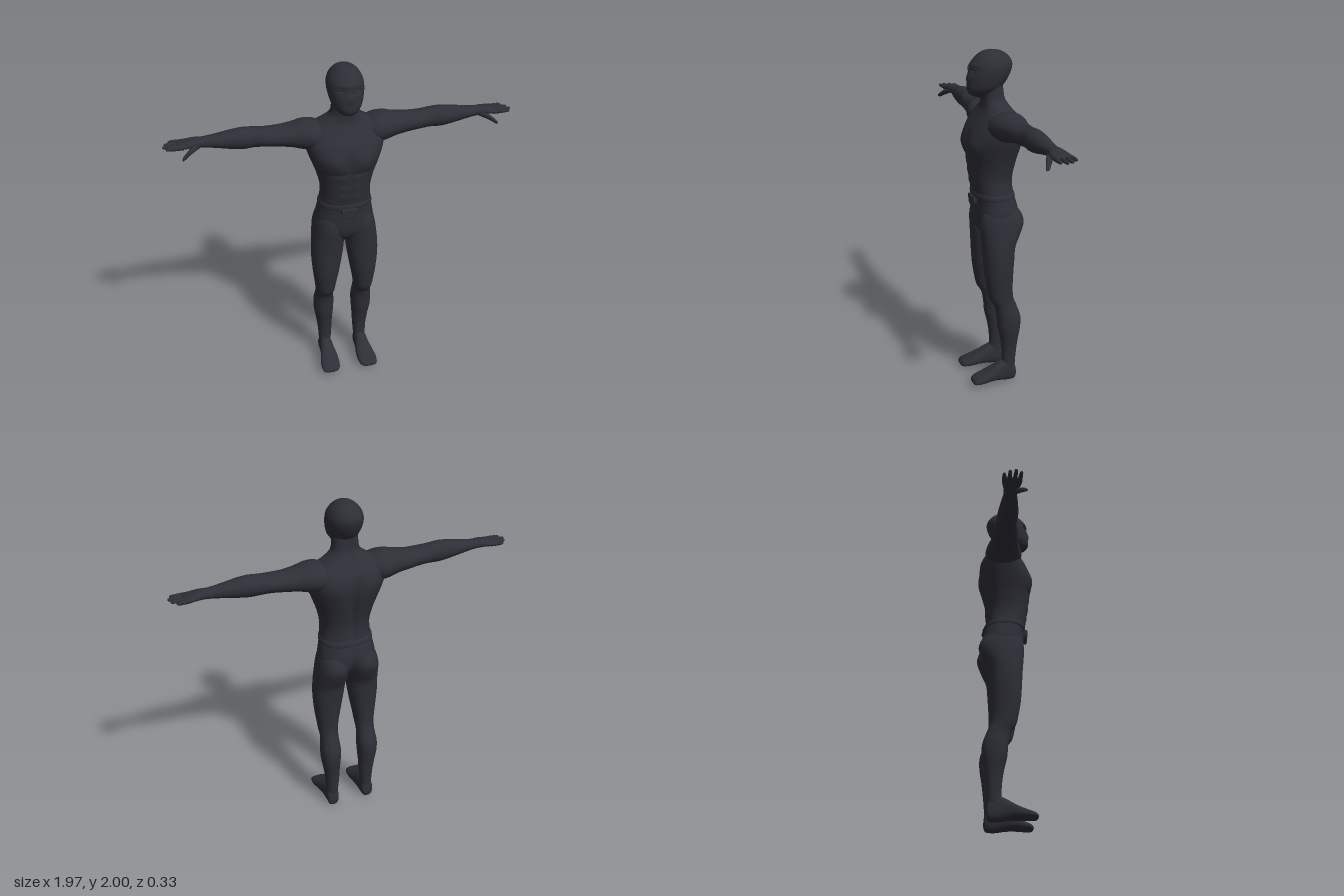
import * as THREE from 'three';

const suit = new THREE.MeshStandardMaterial({ color: 0x2d2e36 });
suit.name = 'charcoal suit';

// Axis mapping for lofts: a and b are the cross-section axes, t runs along the part
const AXES = {
  y: (a, t, b) => [a, t, b],
  x: (a, t, b) => [t, b, a],
  z: (a, t, b) => [b, a, t],
};

const spline = (p0, p1, p2, p3, f) =>
  0.5 * (2 * p1 + (p2 - p0) * f + (2 * p0 - 5 * p1 + 4 * p2 - p3) * f * f + (3 * p1 - p0 - 3 * p2 + p3) * f ** 3);

// Smooth closed loft through sections [t, aMin, aMax, bMin, bMax]
function loft(axis, sections, { sides = 40, steps = 6, power = 2, sculpt = null, mirror = false } = {}) {
  const rings = [];
  const n = sections.length;
  for (let i = 0; i < n - 1; i++) {
    const q = [-1, 0, 1, 2].map(k => sections[Math.min(n - 1, Math.max(0, i + k))]);
    for (let s = 0; s < steps; s++) rings.push(q[0].map((_, k) => spline(q[0][k], q[1][k], q[2][k], q[3][k], s / steps)));
  }
  rings.push(sections[n - 1]);
  const pos = [], idx = [];
  const add = (a, t, b) => {
    const p = AXES[axis](a, t, b);
    if (sculpt) sculpt(p);
    pos.push(mirror ? -p[0] : p[0], p[1], p[2]);
  };
  const tri = (a, b, c) => (mirror ? idx.push(a, c, b) : idx.push(a, b, c));
  const round = v => Math.sign(v) * Math.abs(v) ** (2 / power);
  for (const [t, a0, a1, b0, b1] of rings) {
    for (let j = 0; j < sides; j++) {
      const w = (j / sides) * Math.PI * 2;
      add((a0 + a1) / 2 + ((a1 - a0) / 2) * round(Math.cos(w)), t, (b0 + b1) / 2 + ((b1 - b0) / 2) * round(Math.sin(w)));
    }
  }
  const last = rings.length - 1, first = rings.length * sides;
  for (const r of [rings[0], rings[last]]) add((r[1] + r[2]) / 2, r[0], (r[3] + r[4]) / 2);
  for (let j = 0; j < sides; j++) {
    const k = (j + 1) % sides;
    for (let i = 0; i < last; i++) {
      const a = i * sides + j, b = i * sides + k;
      tri(a, a + sides, b);
      tri(b, a + sides, b + sides);
    }
    tri(first, j, k);
    tri(first + 1, last * sides + k, last * sides + j);
  }
  const g = new THREE.BufferGeometry();
  g.setAttribute('position', new THREE.Float32BufferAttribute(pos, 3));
  g.setIndex(idx);
  g.computeVertexNormals();
  return g;
}

const bump = (d, r) => Math.exp(-((d / r) ** 2));

// Muscle relief on the torso
function sculptTorso(p) {
  const [x, y, z] = p, ax = Math.abs(x);
  if (z > 0.03) {
    const k = Math.min(1, (z - 0.03) / 0.05);
    let d = 0.014 * bump(ax - 0.095, 0.055) * bump(y - 1.48, 0.055);                 // pectorals
    d -= 0.01 * bump(x, 0.014) * bump(y - 1.47, 0.1);                                // breastbone
    d -= 0.006 * bump(ax - 0.07, 0.06) * bump(y - 1.405, 0.012);                     // lower chest edge
    for (const row of [1.37, 1.31, 1.25]) d += 0.005 * bump(ax - 0.035, 0.022) * bump(y - row, 0.02);
    p[2] += d * k;
  } else if (z < -0.03) {
    const k = Math.min(1, (-z - 0.03) / 0.05);
    let d = -0.022 * bump(x, 0.022) * bump(y - 1.42, 0.2);                           // spine
    d += 0.01 * bump(ax - 0.11, 0.05) * bump(y - 1.54, 0.07);                        // shoulder blades
    d -= 0.025 * bump(x, 0.02) * bump(y - 1.0, 0.08);                                // seat cleft
    p[2] -= d * k;
  }
}

// Face relief
function sculptHead(p) {
  const [x, y, z] = p;
  if (z < 0.05) return;
  p[2] += 0.008 * bump(x, 0.018) * bump(y - 1.85, 0.022)                             // nose
    - 0.01 * bump(Math.abs(x) - 0.042, 0.024) * bump(y - 1.893, 0.016)               // eye sockets
    + 0.005 * bump(x, 0.07) * bump(y - 1.922, 0.012);                                // brow
}

const wide = rows => rows.map(([y, w, z0, z1]) => [y, -w, w, z0, z1]);

export function createModel() {
  const model = new THREE.Group();
  const part = (name, geometry, parent = model) => {
    const m = new THREE.Mesh(geometry, suit);
    m.name = name;
    parent.add(m);
    return m;
  };

  part('torso', loft('y', wide([
    [0.925, 0.03, -0.06, 0.05], [0.97, 0.1, -0.11, 0.085], [1.02, 0.165, -0.14, 0.1], [1.08, 0.168, -0.146, 0.105],
    [1.14, 0.158, -0.132, 0.105], [1.2, 0.147, -0.115, 0.112], [1.28, 0.143, -0.112, 0.125], [1.36, 0.16, -0.126, 0.134],
    [1.44, 0.188, -0.145, 0.147], [1.5, 0.21, -0.156, 0.147], [1.56, 0.225, -0.16, 0.13], [1.61, 0.222, -0.15, 0.1],
    [1.65, 0.19, -0.127, 0.075], [1.68, 0.14, -0.103, 0.06], [1.71, 0.095, -0.083, 0.056], [1.74, 0.076, -0.07, 0.058],
    [1.8, 0.07, -0.062, 0.06], [1.84, 0.06, -0.055, 0.05],
  ]), { sides: 96, steps: 8, power: 2.35, sculpt: sculptTorso }));

  part('head', loft('y', wide([
    [1.742, 0.03, -0.01, 0.095], [1.755, 0.05, -0.03, 0.122], [1.775, 0.066, -0.045, 0.138], [1.8, 0.082, -0.062, 0.141],
    [1.84, 0.094, -0.09, 0.138], [1.88, 0.1, -0.11, 0.132], [1.92, 0.097, -0.118, 0.121], [1.955, 0.081, -0.103, 0.097],
    [1.98, 0.058, -0.075, 0.068], [1.993, 0.035, -0.045, 0.042], [2.0, 0.004, 0, 0.008],
  ]), { sides: 64, steps: 8, power: 2.1, sculpt: sculptHead }));

  // Belt and buckle
  part('belt', loft('y', wide([
    [1.163, 0.148, -0.12, 0.105], [1.168, 0.156, -0.127, 0.113], [1.192, 0.152, -0.121, 0.115], [1.197, 0.144, -0.112, 0.107],
  ]), { sides: 64, steps: 3, power: 2.35 }));
  const plate = new THREE.Shape();
  plate.moveTo(-0.042, 0.018);
  plate.lineTo(0.042, 0.018);
  plate.quadraticCurveTo(0.044, -0.036, 0, -0.036);
  plate.quadraticCurveTo(-0.044, -0.036, -0.042, 0.018);
  part('buckle', new THREE.ExtrudeGeometry(plate, {
    depth: 0.02, bevelSize: 0.005, bevelThickness: 0.005, bevelSegments: 3, curveSegments: 12,
  })).position.set(0, 1.15, 0.101);

  for (const side of [1, -1]) {
    const mirror = side < 0;
    const label = mirror ? 'right' : 'left';

    // Eyepiece rim
    const rim = part(label + 'EyeRim', new THREE.TorusGeometry(0.026, 0.004, 8, 28));
    rim.position.set(side * 0.041, 1.895, 0.117);
    rim.rotation.y = side * 0.38;
    rim.scale.y = 0.55;

    part(label + 'Leg', loft('y', [
      [1.13, 0.03, 0.13, -0.1, 0.07], [1.08, 0.006, 0.165, -0.142, 0.092], [1.02, 0.001, 0.182, -0.162, 0.1],
      [0.95, 0.001, 0.192, -0.138, 0.096], [0.88, 0.008, 0.198, -0.106, 0.09], [0.8, 0.018, 0.2, -0.097, 0.085],
      [0.7, 0.035, 0.193, -0.09, 0.078], [0.61, 0.052, 0.182, -0.088, 0.064], [0.55, 0.06, 0.175, -0.094, 0.05],
      [0.5, 0.063, 0.172, -0.113, 0.02], [0.43, 0.058, 0.18, -0.137, 0.006], [0.36, 0.06, 0.178, -0.138, 0],
      [0.28, 0.066, 0.165, -0.126, -0.018], [0.2, 0.07, 0.155, -0.117, -0.028], [0.13, 0.075, 0.151, -0.111, -0.028],
      [0.06, 0.078, 0.15, -0.108, -0.01],
    ].reverse(), { power: 2.15, mirror }));

    part(label + 'Foot', loft('z', [
      [-0.112, 0.03, 0.07, 0.095, 0.135], [-0.1, 0.004, 0.11, 0.08, 0.15], [-0.05, 0, 0.14, 0.075, 0.152],
      [0, 0.008, 0.122, 0.07, 0.157], [0.05, 0.014, 0.093, 0.062, 0.168], [0.1, 0.014, 0.07, 0.06, 0.177],
      [0.14, 0.015, 0.055, 0.067, 0.175], [0.158, 0.017, 0.044, 0.08, 0.166], [0.165, 0.024, 0.034, 0.1, 0.148],
    ], { power: 2.5, mirror }));

    part(label + 'Arm', loft('x', [
      [0.1, -0.1, 0.05, 1.56, 1.66], [0.17, -0.132, 0.08, 1.525, 1.685], [0.23, -0.128, 0.07, 1.525, 1.69],
      [0.29, -0.115, 0.054, 1.541, 1.677], [0.36, -0.108, 0.042, 1.553, 1.668], [0.44, -0.1, 0.035, 1.562, 1.668],
      [0.5, -0.094, 0.022, 1.562, 1.675], [0.56, -0.092, 0.024, 1.56, 1.679], [0.62, -0.088, 0.021, 1.568, 1.673],
      [0.7, -0.08, 0.01, 1.583, 1.66], [0.77, -0.073, 0, 1.594, 1.651], [0.82, -0.08, 0.006, 1.6, 1.65],
      [0.87, -0.09, 0.015, 1.602, 1.64], [0.902, -0.088, 0.014, 1.607, 1.633], [0.912, -0.075, 0.003, 1.614, 1.625],
    ], { mirror }));

    // Fingers: [root z, tip z, tip x]
    const fingers = [[-0.077, -0.084, 0.952], [-0.051, -0.055, 0.976], [-0.024, -0.024, 0.986], [0.002, 0.005, 0.97]];
    fingers.forEach(([z0, z1, tip], i) => {
      const rows = [[0.875, 0.012], [0.92, 0.0115], [tip - 0.012, 0.009], [tip - 0.003, 0.006], [tip, 0.001]];
      part(label + 'Finger' + (i + 1), loft('x', rows.map(([x, r]) => {
        const z = z0 + ((z1 - z0) * (x - 0.875)) / (tip - 0.875);
        return [x, z - r, z + r, 1.619 - r, 1.619 + r];
      }), { sides: 12, steps: 3, mirror }));
    });

    part(label + 'Thumb', loft('x', [
      [0.79, -0.03, 0, 1.6, 1.63], [0.83, -0.015, 0.022, 1.585, 1.62], [0.86, 0.006, 0.035, 1.571, 1.6],
      [0.88, 0.02, 0.044, 1.56, 1.584], [0.888, 0.028, 0.044, 1.56, 1.573], [0.891, 0.034, 0.038, 1.563, 1.567],
    ], { sides: 16, steps: 4, mirror }));
  }
  return model;
}
